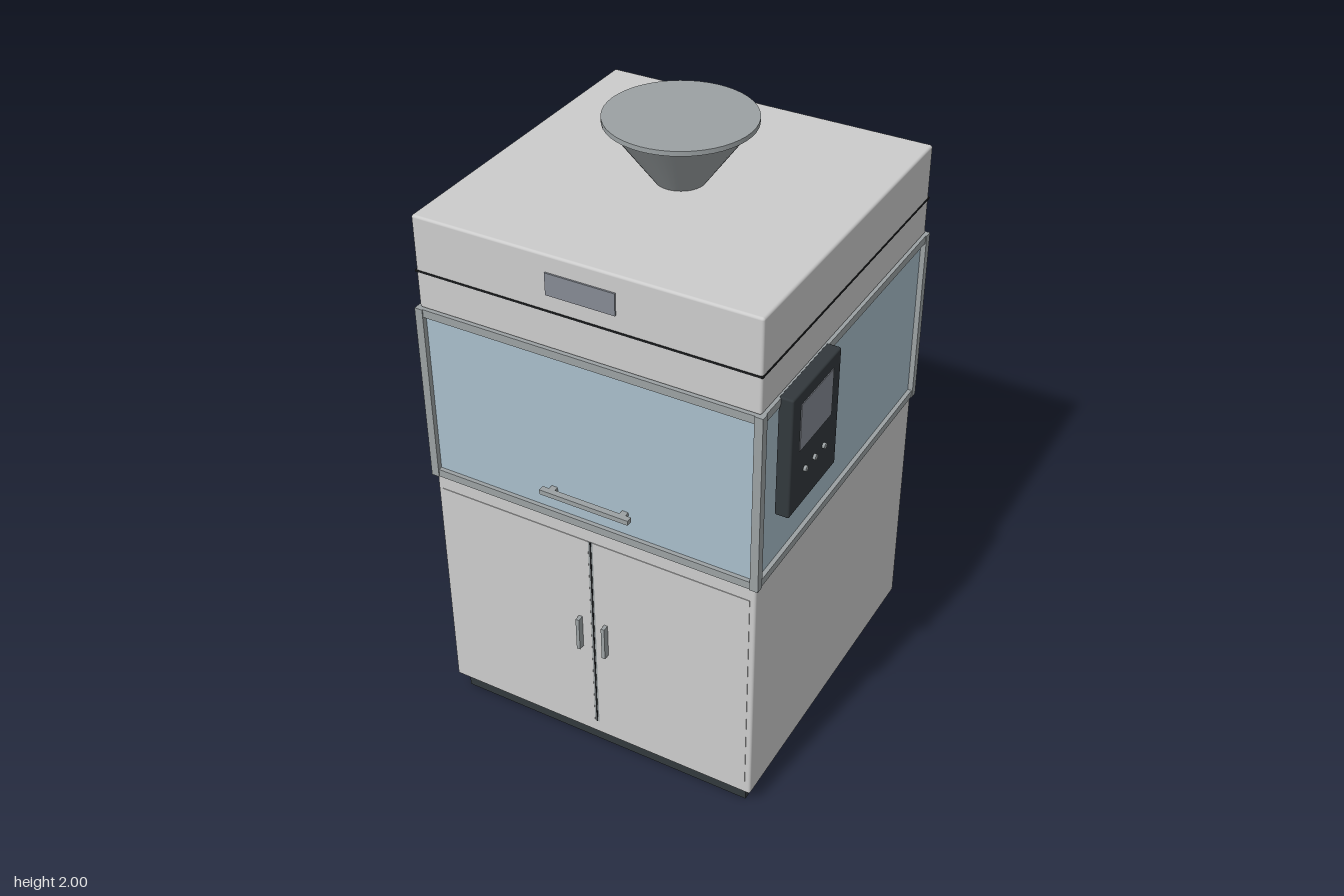
import * as THREE from 'three';
import { RoundedBoxGeometry } from 'three/addons/geometries/RoundedBoxGeometry.js';

const mat = (color) => new THREE.MeshStandardMaterial({ color });
const shell = mat(0xcccccc), dark = mat(0x32383c), black = mat(0x1c1e20);
const metal = mat(0x9ba1a3), glass = mat(0xa8becb), screen = mat(0x858a93);

export function createModel() {
  const model = new THREE.Group();
  // everything inside the cabinet group is measured from the cabinet's own axis
  const cabinet = new THREE.Group();
  cabinet.name = 'cabinet';
  cabinet.position.set(-0.022, 0, -0.01);
  model.add(cabinet);

  const add = (name, geometry, material, x, y, z) => {
    const mesh = new THREE.Mesh(geometry, material);
    mesh.name = name;
    mesh.position.set(x, y, z);
    cabinet.add(mesh);
    return mesh;
  };
  const box = (name, material, w, h, d, x, y, z) =>
    add(name, new THREE.BoxGeometry(w, h, d), material, x, y, z);
  const rounded = (name, material, w, h, d, r, x, y, z) =>
    add(name, new RoundedBoxGeometry(w, h, d, 3, r), material, x, y, z);

  // plinth, lower cupboard and top housing
  box('plinth', dark, 1.04, 0.07, 1.04, 0, 0.035, 0);
  rounded('lowerBody', shell, 1.096, 0.84, 1.096, 0.008, 0, 0.48, 0);
  rounded('topHousing', shell, 1.096, 0.3, 1.096, 0.008, 0, 1.65, 0);
  box('housingSeam', black, 1.1, 0.006, 1.1, 0, 1.622, 0);

  // glazed chamber with rails and corner posts
  box('glassChamber', glass, 1.085, 0.6, 1.085, 0, 1.2, 0);
  for (const s of [-1, 1]) {
    for (const y of [0.913, 1.487]) {
      box('frontBackRail', metal, 1.08, 0.026, 0.022, 0, y, s * 0.545);
      box('sideRail', metal, 0.022, 0.026, 1.08, s * 0.545, y, 0);
    }
    for (const t of [-1, 1])
      box('cornerPost', metal, 0.026, 0.6, 0.026, s * 0.546, 1.2, t * 0.546);
  }
  box('glassHandle', metal, 0.3, 0.016, 0.02, 0, 1.003, 0.57);
  for (const s of [-1, 1])
    box('glassHandleMount', metal, 0.02, 0.012, 0.03, s * 0.12, 1.003, 0.552);

  // double doors with a dark gap and pull handles
  for (const s of [-1, 1]) {
    box('door', shell, 0.522, 0.74, 0.006, s * 0.269, 0.48, 0.547);
    box('doorHandle', metal, 0.012, 0.12, 0.022, s * 0.045, 0.48, 0.56);
  }
  box('doorGap', metal, 0.016, 0.74, 0.004, 0, 0.48, 0.5475);
  box('doorGapLine', black, 0.005, 0.74, 0.004, 0, 0.48, 0.549);

  // blank name plate on the housing
  box('namePlate', screen, 0.22, 0.07, 0.01, 0, 1.71, 0.548);

  // ventilation slots
  for (let i = 0; i < 5; i++)
    box('ventSlot', black, 0.012, 0.02, 0.3, -0.549, 0.505 + i * 0.045, 0);

  // control panel
  rounded('controlPanel', dark, 0.045, 0.4, 0.3, 0.006, 0.571, 1.302, 0.3);
  box('panelScreen', screen, 0.006, 0.155, 0.2, 0.593, 1.383, 0.3);
  for (const dz of [-0.06, 0, 0.06])
    add('panelButton', new THREE.CylinderGeometry(0.009, 0.009, 0.012, 20), metal, 0.596, 1.222, 0.3 + dz)
      .rotation.z = Math.PI / 2;

  // feed hopper with a closed lid
  add('hopper', new THREE.CylinderGeometry(0.212, 0.075, 0.19, 48), metal, 0, 1.893, 0);
  add('hopperLid', new THREE.CylinderGeometry(0.224, 0.224, 0.015, 48), metal, 0, 1.9925, 0);

  return model;
}
